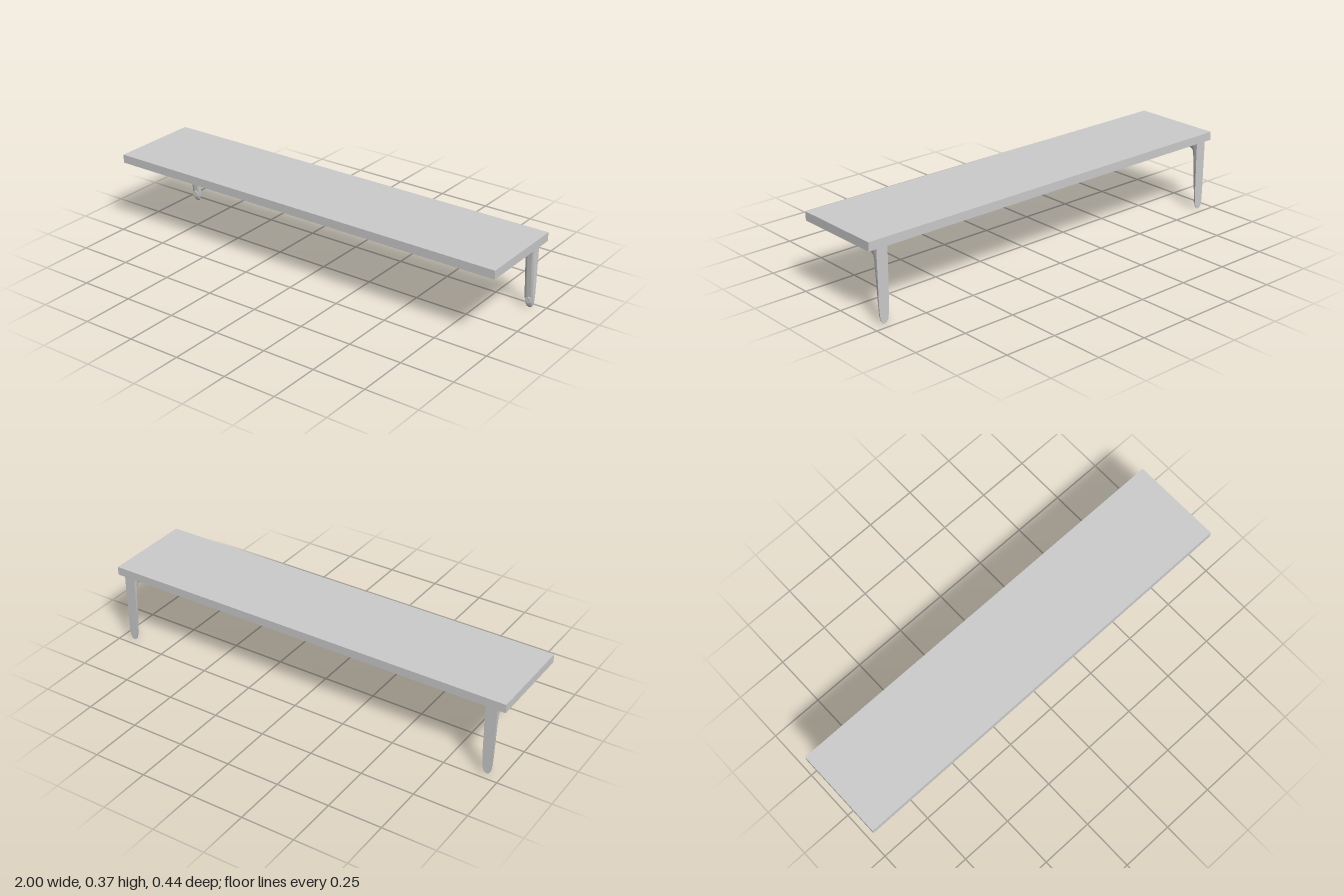
import * as THREE from 'three';
import { toCreasedNormals } from 'three/addons/utils/BufferGeometryUtils.js';

const material = new THREE.MeshStandardMaterial({ color: 0xcccccc });
const BACK = -0.216, UNDER = 0.334;

// Bracket stations from the foot to the front tip:
// half width, inner edge (y, z), outer edge (y, z)
const stations = [
  [0.001, 0.000, -0.2150, 0.000, BACK],
  [0.011, 0.005, -0.2120, 0.004, BACK],
  [0.018, 0.016, -0.2080, 0.015, BACK],
  [0.023, 0.045, -0.2040, 0.045, BACK],
  [0.025, 0.100, -0.1995, 0.100, BACK],
  [0.026, 0.190, -0.1920, 0.200, BACK],
  [0.027, 0.250, -0.1870, 0.270, BACK],
  [0.027, 0.280, -0.1820, 0.310, BACK],
  [0.027, 0.294, -0.1740, UNDER, BACK],
  [0.027, 0.300, -0.1600, UNDER, -0.185],
  [0.027, 0.304, -0.1150, UNDER, -0.120],
  [0.026, 0.309, -0.0500, UNDER, -0.050],
  [0.025, 0.314, 0.0200, UNDER, 0.020],
  [0.023, 0.318, 0.0650, UNDER, 0.065],
  [0.018, 0.322, 0.0870, UNDER, 0.088],
  [0.011, 0.326, 0.0950, UNDER, 0.096],
  [0.001, 0.333, 0.0975, UNDER, 0.098],
];

// Loft of D-shaped sections: flat outside, rounded inside
function bracketGeometry() {
  const STEPS = (stations.length - 1) * 3, SIDES = 18, ring = SIDES + 1;
  const inner = new THREE.CatmullRomCurve3(
    stations.map(([w, y, z]) => new THREE.Vector3(w, y, z)), false, 'catmullrom', 0.5);
  const positions = [], index = [];
  for (let i = 0; i <= STEPS; i++) {
    const p = inner.getPoint(i / STEPS);
    const k = Math.min(Math.floor(i / 3), stations.length - 2), f = i / 3 - k;
    const oy = THREE.MathUtils.lerp(stations[k][3], stations[k + 1][3], f);
    const oz = THREE.MathUtils.lerp(stations[k][4], stations[k + 1][4], f);
    for (let j = 0; j <= SIDES; j++) {
      const a = Math.PI * j / SIDES, c = Math.cos(a), s = Math.max(0, Math.sin(a));
      const depth = Math.pow(s, 0.65);
      positions.push(p.x * Math.sign(c) * Math.pow(Math.abs(c), 0.65),
        oy + (p.y - oy) * depth, oz + (p.z - oz) * depth);
    }
  }
  for (let i = 0; i < STEPS; i++) {
    for (let j = 0; j < ring; j++) {
      const a = i * ring + j, b = i * ring + (j + 1) % ring;
      index.push(a, a + ring, b, b, a + ring, b + ring);
    }
  }
  const geometry = new THREE.BufferGeometry();
  geometry.setAttribute('position', new THREE.Float32BufferAttribute(positions, 3));
  geometry.setIndex(index);
  return toCreasedNormals(geometry, 0.7);
}

function addMesh(parent, name, geometry, x = 0, y = 0, z = 0) {
  const mesh = new THREE.Mesh(geometry, material);
  mesh.name = name;
  mesh.position.set(x, y, z);
  parent.add(mesh);
  return mesh;
}

export function createModel() {
  const model = new THREE.Group();
  model.name = 'wallShelf';

  // Board
  addMesh(model, 'shelfBoard', new THREE.BoxGeometry(2, 0.04, 0.435), 0, 0.353, 0);

  // Two brackets, each with a hexagonal bolt head on the leg and on the arm
  const arch = bracketGeometry();
  const bolt = toCreasedNormals(new THREE.CylinderGeometry(0.016, 0.016, 0.012, 6), 0.5);
  for (const side of [-1, 1]) {
    const bracket = new THREE.Group();
    bracket.name = side > 0 ? 'leftBracket' : 'rightBracket';
    bracket.position.x = side * 0.935;
    addMesh(bracket, 'bracketArm', arch);
    addMesh(bracket, 'wallBolt', bolt, 0, 0.04, -0.204).rotation.x = Math.PI / 2;
    addMesh(bracket, 'shelfBolt', bolt, 0, 0.317, 0.06);
    model.add(bracket);
  }
  return model;
}
